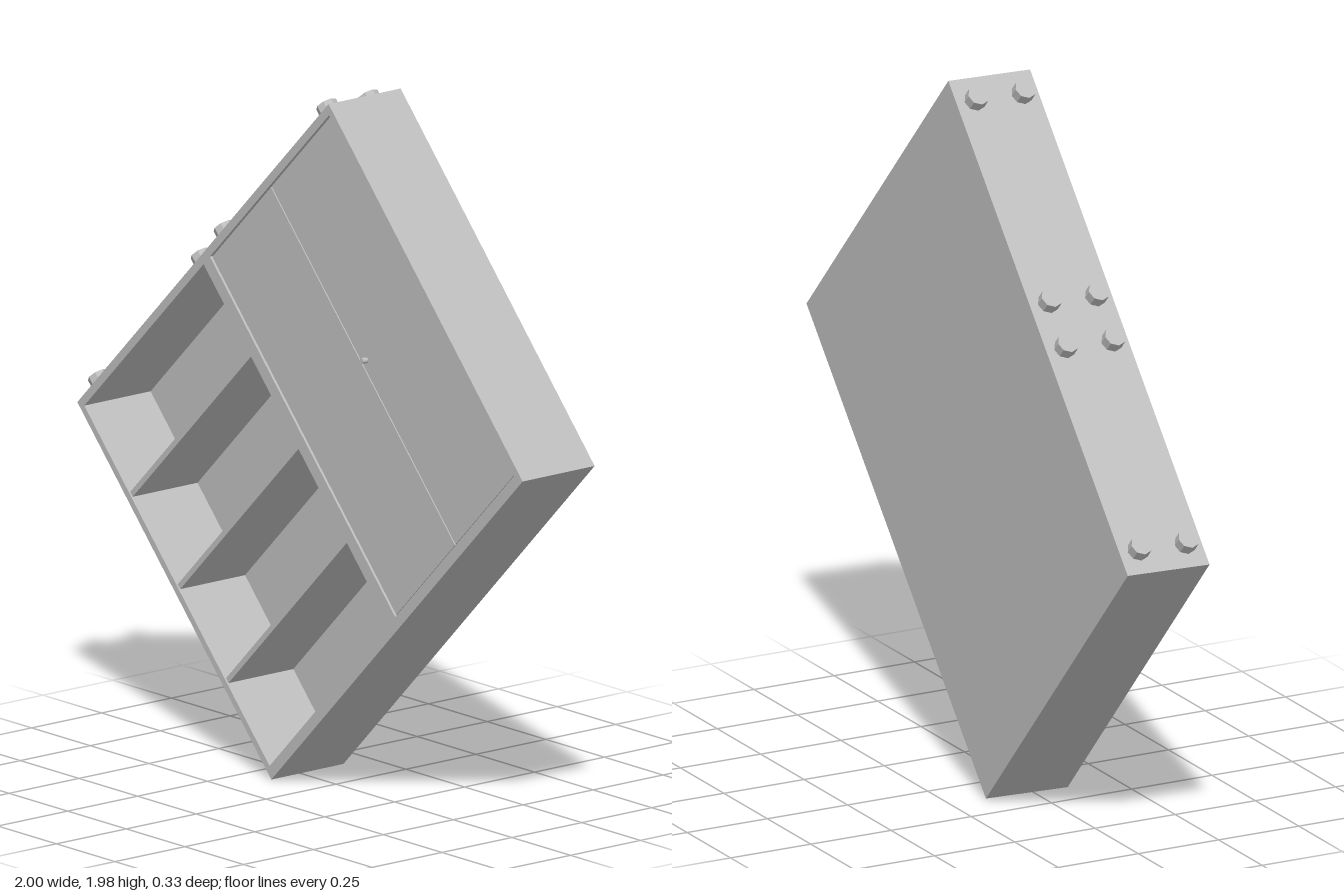
import * as THREE from 'three';

const W = 1.577, H = 1.234, D = 0.25; // cabinet size in its own tilted frame
const SIDE = 0.02, FOOT_WALL = 0.024, FAR_WALL = 0.032, BACK = 0.02;

export function createModel() {
  const model = new THREE.Group();
  const grey = new THREE.MeshStandardMaterial({ color: 0xbdbdbd, flatShading: true });
  grey.name = 'plain grey';

  const cabinet = new THREE.Group();
  cabinet.name = 'cabinet';
  model.add(cabinet);

  const add = (name, geometry, x, y, z) => {
    const mesh = new THREE.Mesh(geometry, grey);
    mesh.name = name;
    mesh.position.set(x, y, z);
    cabinet.add(mesh);
    return mesh;
  };
  const rect = (target, x0, y0, x1, y1) => {
    target.moveTo(x0, y0);
    target.lineTo(x1, y0);
    target.lineTo(x1, y1);
    target.lineTo(x0, y1);
    target.closePath();
    return target;
  };

  // Carcass: one frame with an open bay and a door bay
  const y0 = -H / 2 + FAR_WALL, y1 = H / 2 - FOOT_WALL;
  const frame = rect(new THREE.Shape(), -W / 2, -H / 2, W / 2, H / 2);
  frame.holes.push(rect(new THREE.Path(), -W / 2 + SIDE, y0, -SIDE, y1));
  frame.holes.push(rect(new THREE.Path(), SIDE, y0, W / 2 - SIDE, y1));
  add('frame', new THREE.ExtrudeGeometry(frame, { depth: D, bevelEnabled: false }), 0, 0, -D / 2);

  // Back panels sit inside each bay
  const bayW = W / 2 - 2 * SIDE, bayH = y1 - y0, midY = (y0 + y1) / 2;
  for (const s of [-1, 1]) {
    add('backPanel', new THREE.BoxGeometry(bayW, bayH, BACK), s * W / 4, midY, -D / 2 + BACK / 2);
  }

  // Shelves in the open bay
  const shelfD = D - BACK - 0.005;
  for (const y of [-0.307, 0, 0.302]) {
    add('shelf', new THREE.BoxGeometry(bayW, 0.016, shelfD), -W / 4, y, -D / 2 + BACK + shelfD / 2);
  }

  // Pair of inset doors with narrow gaps
  const gap = 0.004, doorW = bayW / 2 - 1.5 * gap;
  for (const s of [-1, 1]) {
    add('door', new THREE.BoxGeometry(doorW, bayH - 2 * gap, 0.018),
      W / 4 + s * (doorW + gap) / 2, midY, D / 2 - 0.013);
  }

  // Door knob
  const knob = add('knob', new THREE.CylinderGeometry(0.008, 0.008, 0.018, 12), 0.418, 0.008, D / 2 + 0.004);
  knob.rotation.x = Math.PI / 2;

  // Eight feet, four under each half
  for (const half of [-1, 1]) {
    for (const sx of [-1, 1]) {
      for (const sz of [-1, 1]) {
        add('foot', new THREE.CylinderGeometry(0.031, 0.031, 0.034, 8),
          half * W / 4 + sx * (W / 4 - 0.072), H / 2 + 0.017, 0.003 + sz * 0.072);
      }
    }
  }

  // Tilt the whole cabinet so it balances on one corner edge
  const xAxis = new THREE.Vector3(1.144, 1.086, 0.06).normalize();
  const zAxis = new THREE.Vector3(-0.0377, -0.0157, 0.999);
  zAxis.addScaledVector(xAxis, -zAxis.dot(xAxis)).normalize();
  const yAxis = new THREE.Vector3().crossVectors(zAxis, xAxis);
  cabinet.quaternion.setFromRotationMatrix(new THREE.Matrix4().makeBasis(xAxis, yAxis, zAxis));
  model.updateMatrixWorld(true);
  const box = new THREE.Box3().setFromObject(model, true);
  const centre = box.getCenter(new THREE.Vector3());
  cabinet.position.set(-centre.x, -box.min.y, -centre.z);
  return model;
}
